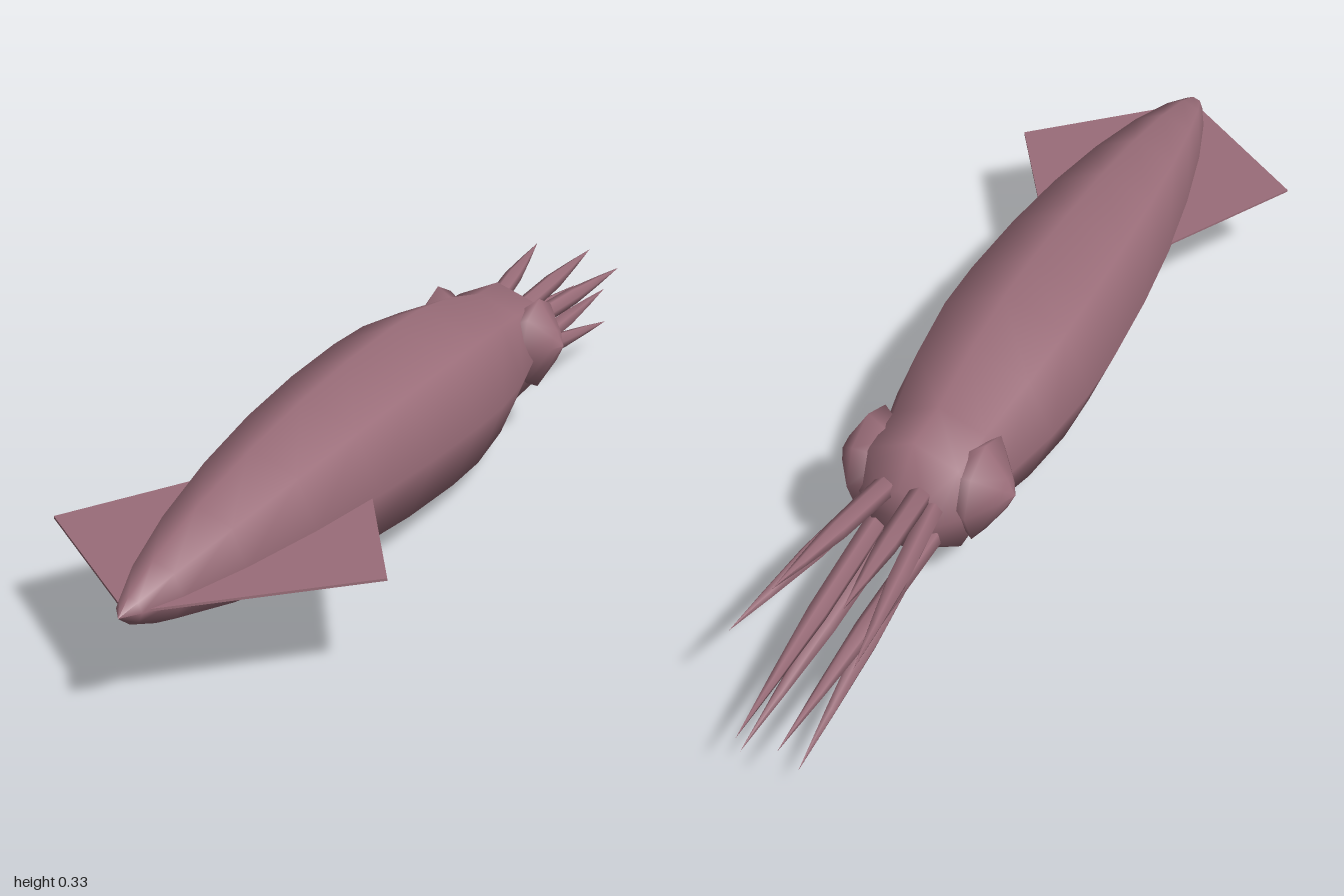
import * as THREE from 'three';

const AXIS_Y = 0.169;

// Lathe whose axis runs along +z
function latheZ(points, sides) {
  const g = new THREE.LatheGeometry(points.map(([r, z]) => new THREE.Vector2(r, z)), sides);
  return g.rotateX(Math.PI / 2);
}

export function createModel() {
  const group = new THREE.Group();
  const skin = new THREE.MeshStandardMaterial({ color: 0x9a6d79 });
  skin.name = 'mauve skin';

  const add = (name, geometry) => {
    const mesh = new THREE.Mesh(geometry, skin);
    mesh.name = name;
    group.add(mesh);
    return mesh;
  };

  // Eight-sided mantle and head, from the blunt head end to the pointed tail
  add('body', latheZ([
    [0, -0.5], [0.06, -0.5], [0.116, -0.44], [0.119, -0.34], [0.15, -0.2], [0.166, -0.06],
    [0.167, 0.06], [0.159, 0.24], [0.143, 0.42], [0.118, 0.6], [0.085, 0.77],
    [0.05, 0.9], [0.022, 0.97], [0, 1],
  ], 8)).position.y = AXIS_Y;

  // Arms: [base x, base y, tip x, tip y, tip z]
  const arms = [
    [0.032, 0.219, 0.06, 0.265, -0.82],
    [0.053, 0.195, 0.106, 0.214, -0.88],
    [0.05, 0.137, 0.035, 0.126, -1],
    [0.03, 0.116, 0.05, 0.06, -0.97],
  ];

  for (const side of [1, -1]) {
    const label = side > 0 ? 'left' : 'right';

    // Blunt, faceted eye bulge
    const eye = add(label + 'Eye', latheZ([[0.055, 0.06], [0.09, 0.108], [0.03, 0.147], [0, 0.161]], 8));
    eye.rotation.y = side * Math.PI / 2;
    eye.position.set(0, 0.187, -0.39);

    // Triangular tail fin, a thin level plate
    const fin = new THREE.Shape();
    fin.moveTo(0, 0.44);
    fin.lineTo(side * 0.136, 0.44);
    fin.lineTo(side * 0.292, 0.72);
    fin.lineTo(0, 0.98);
    const plate = new THREE.ExtrudeGeometry(fin, { depth: 0.004, bevelEnabled: false });
    add(label + 'Fin', plate.rotateX(Math.PI / 2)).position.y = AXIS_Y + 0.002;

    // Tapering arms around the mouth
    arms.forEach(([bx, by, tx, ty, tz], i) => {
      const base = new THREE.Vector3(side * bx, by, -0.49);
      const reach = new THREE.Vector3(side * tx, ty, tz).sub(base);
      const len = reach.length();
      const arm = add(label + 'Arm' + (i + 1),
        latheZ([[0, 0], [0.02, 0], [0.018, len * 0.45], [0.009, len * 0.75], [0, len]], 6));
      arm.position.copy(base);
      arm.quaternion.setFromUnitVectors(new THREE.Vector3(0, 0, 1), reach.normalize());
    });
  }

  return group;
}
